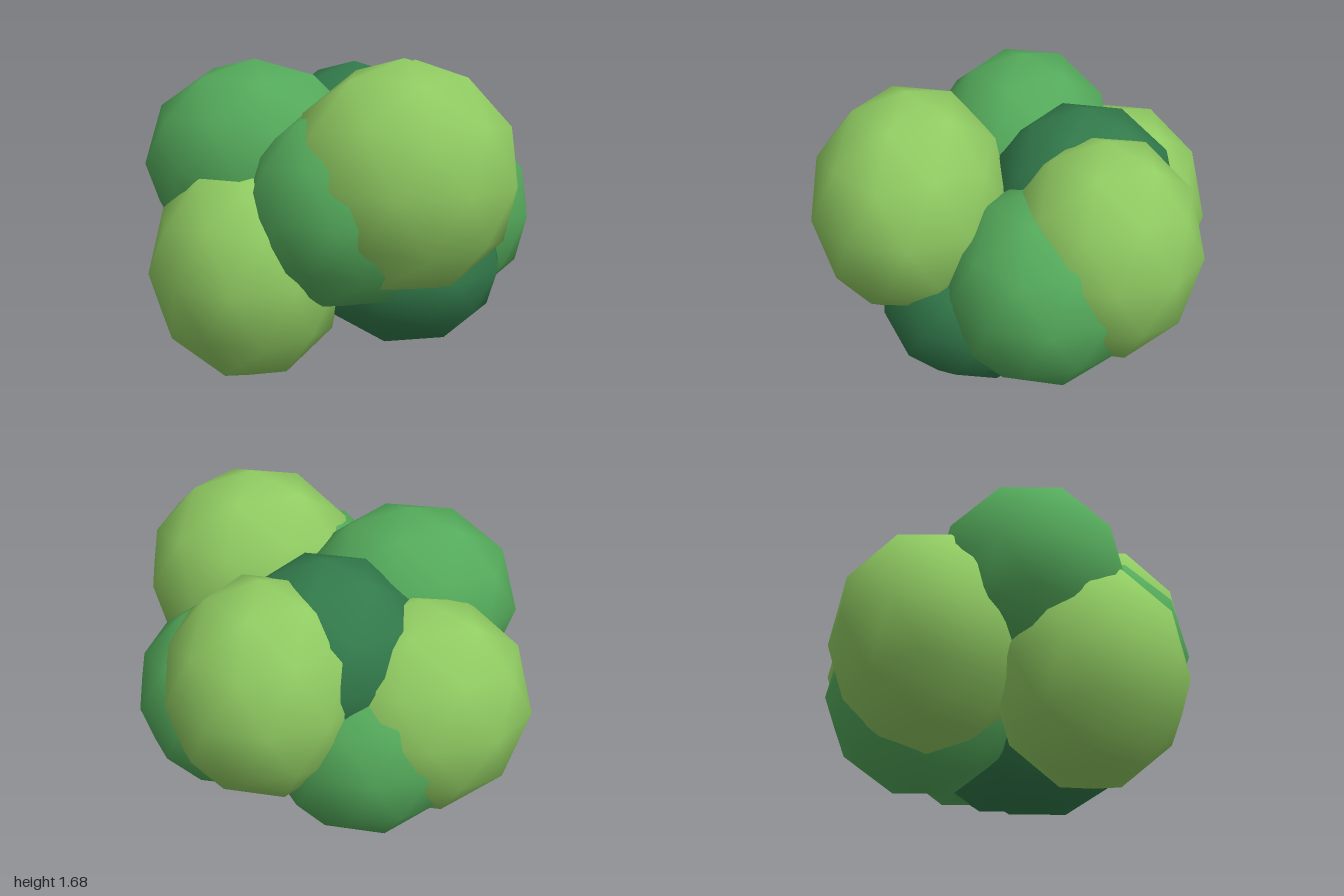
import * as THREE from 'three';

const LIGHT = 0x90cb62, MID = 0x54aa5b, DARK = 0x327a4b;

// name, colour, centre, radii of each leaf clump
const CLUMPS = [
  ['frontTopLeftClump', LIGHT, [0.36, 1.10, 0.495], [0.58, 0.585, 0.5]],
  ['frontLowRightClump', LIGHT, [-0.43, 0.584, 0.4], [0.505, 0.579, 0.495]],
  ['backLeftClump', LIGHT, [0.36, 0.945, -0.5], [0.505, 0.58, 0.5]],
  ['backRightClump', LIGHT, [-0.43, 0.76, -0.405], [0.578, 0.58, 0.5]],
  ['topRightClump', MID, [-0.43, 1.083, 0.105], [0.578, 0.527, 0.5]],
  ['leftClump', MID, [0.46, 0.766, -0.215], [0.545, 0.524, 0.5]],
  ['backLowClump', MID, [-0.15, 0.6, -0.44], [0.505, 0.52, 0.5]],
  ['frontMiddleClump', MID, [0.07, 0.94, 0.465], [0.5, 0.52, 0.5]],
  ['topClump', DARK, [0.04, 1.02, -0.325], [0.505, 0.52, 0.5]],
  ['lowFrontClump', DARK, [0.35, 0.585, 0.16], [0.505, 0.43, 0.5]],
  ['lowMiddleClump', DARK, [0.3, 0.585, 0], [0.505, 0.43, 0.5]],
];

export function createModel() {
  const group = new THREE.Group();
  group.name = 'bush';

  // Smooth low-poly icosphere, turned so that one corner points straight up
  const sphere = new THREE.IcosahedronGeometry(1, 1);
  sphere.rotateZ(-Math.atan(2 / (1 + Math.sqrt(5))));

  const materials = new Map([LIGHT, MID, DARK].map(
    (color) => [color, new THREE.MeshStandardMaterial({ color })]));

  for (const [name, color, centre, radii] of CLUMPS) {
    const clump = new THREE.Mesh(sphere, materials.get(color));
    clump.name = name;
    clump.position.set(...centre);
    clump.scale.set(...radii);
    group.add(clump);
  }
  return group;
}
